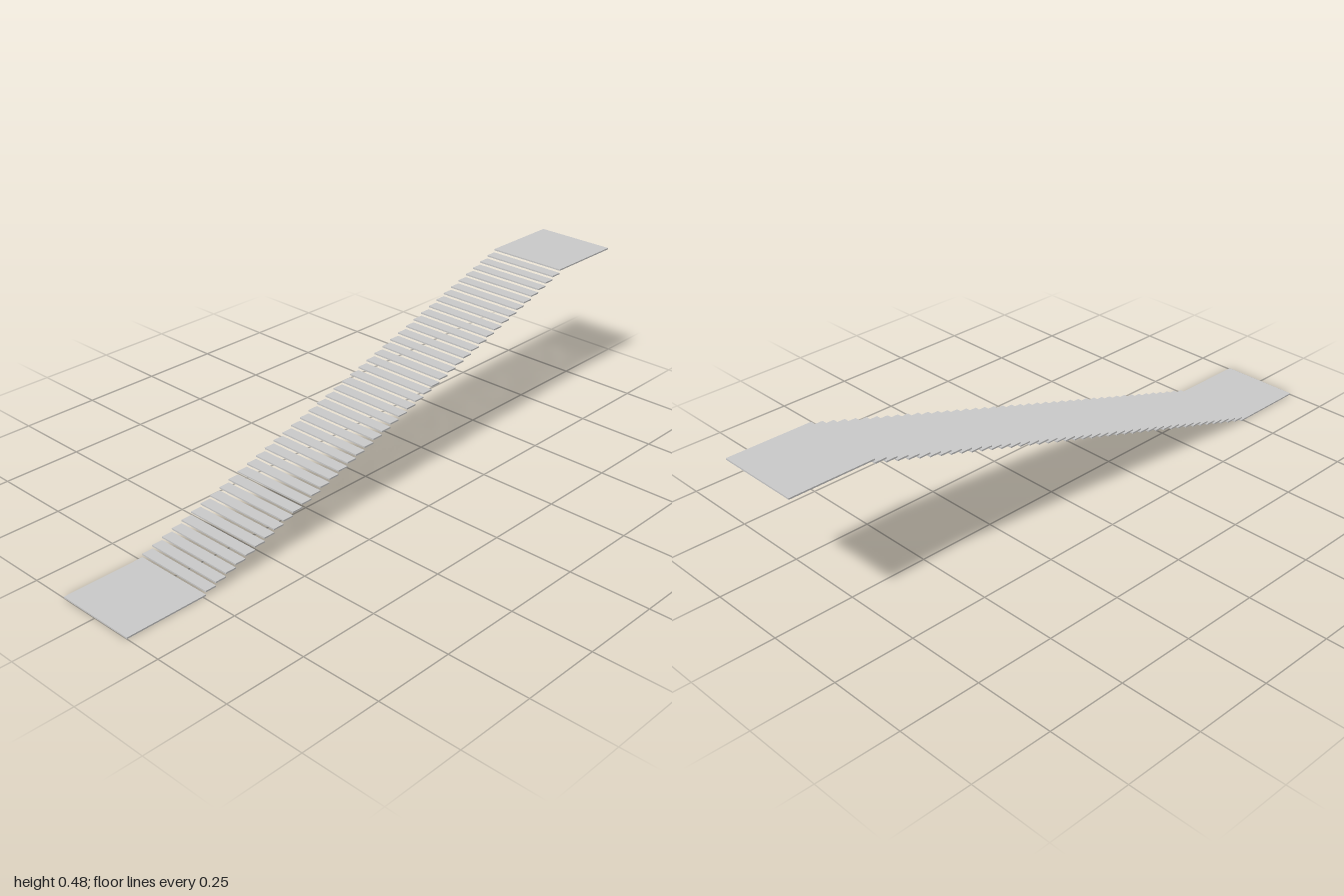
import * as THREE from 'three';

export function createModel() {
  const group = new THREE.Group();
  const material = new THREE.MeshStandardMaterial({ color: 0xcccccc, flatShading: true });

  const steps = 42;
  const width = 0.26;       // across the flight (z)
  const thickness = 0.0045;
  const height = 0.482;
  const landing = 0.259;    // landing length (x)
  const run = (2 - 2 * landing) / steps;
  const rise = (height - thickness) / (steps + 1);

  function slab(name, x, level, length) {
    const mesh = new THREE.Mesh(new THREE.BoxGeometry(length, thickness, width), material);
    mesh.name = name;
    mesh.position.set(x, thickness / 2 + level * rise, 0);
    group.add(mesh);
  }

  // Landings at both ends
  slab('lowerLanding', -1 + landing / 2, 0, landing);
  slab('upperLanding', 1 - landing / 2, steps + 1, landing);

  // Floating treads climbing towards +x
  for (let i = 0; i < steps; i++) {
    slab(`tread${i + 1}`, -1 + landing + (i + 0.5) * run, i + 1, run);
  }
  return group;
}
